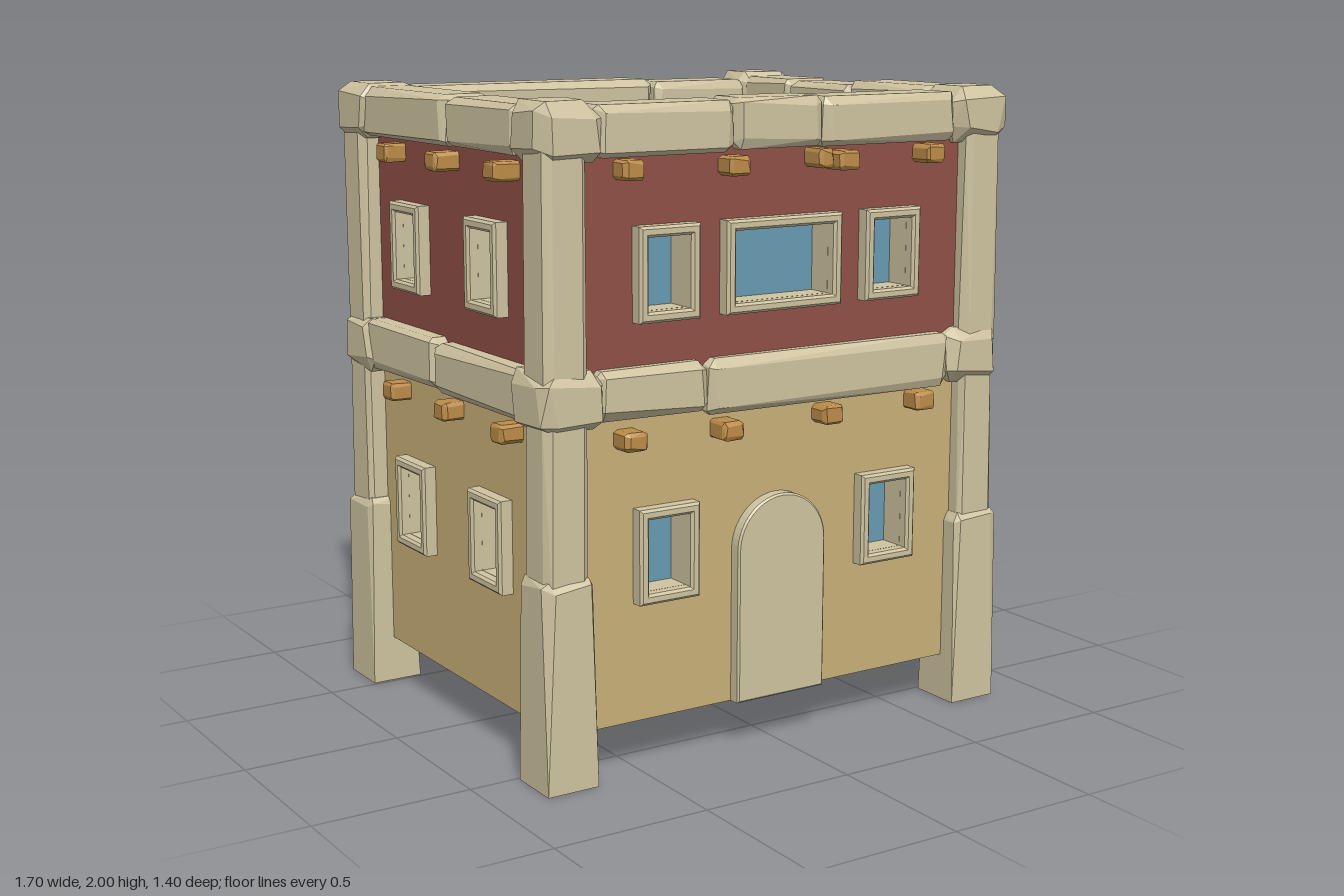
import * as THREE from 'three';
import { ConvexGeometry } from 'three/addons/geometries/ConvexGeometry.js';

const mat = (name, color, side = THREE.FrontSide) => {
  const m = new THREE.MeshStandardMaterial({ color, side });
  m.name = name;
  return m;
};

let seed = 7;
const rand = () => (seed = (seed * 16807) % 2147483647) / 2147483647;

export function createModel() {
  const model = new THREE.Group();
  model.name = 'house';
  const stone = mat('stone', 0xcfc3a0);
  const plaster = mat('sandPlaster', 0xc9b078, THREE.DoubleSide);
  const red = mat('redPlaster', 0x8f5046, THREE.DoubleSide);
  const glass = mat('glass', 0x689cb4, THREE.DoubleSide);
  const doorWood = mat('doorWood', 0xd69862);
  const wood = mat('beamWood', 0xbd8c48);

  const add = (parent, name, geo, material, x = 0, y = 0, z = 0) => {
    const m = new THREE.Mesh(geo, material);
    m.name = name;
    m.position.set(x, y, z);
    parent.add(m);
    return m;
  };

  // Rough hewn block: a box with unevenly cut edges
  const block = (parent, name, material, [x0, x1], [y0, y1], [z0, z1], cut = 0.025, flatBase = false) => {
    const lo = [x0, y0, z0], hi = [x1, y1, z1], pts = [];
    for (let c = 0; c < 8; c++) for (let axis = 0; axis < 3; axis++) {
      const p = [0, 1, 2].map((i) => {
        const top = (c >> i) & 1;
        const inset = i === axis || (flatBase && !(c & 2)) ? 0 : cut * (0.5 + rand());
        return top ? hi[i] - inset : lo[i] + inset;
      });
      pts.push(new THREE.Vector3(...p));
    }
    add(parent, name, new ConvexGeometry(pts), material);
  };

  const rect = (S, w, h, cx = 0, cy = 0) => {
    const s = new S();
    s.moveTo(cx - w / 2, cy - h / 2);
    s.lineTo(cx + w / 2, cy - h / 2);
    s.lineTo(cx + w / 2, cy + h / 2);
    s.lineTo(cx - w / 2, cy + h / 2);
    s.closePath();
    return s;
  };
  // Round-headed outline: half width r, from y0 up to the spring line
  const arch = (S, r, y0, spring = 0.63) => {
    const s = new S();
    s.moveTo(-r, y0);
    s.lineTo(r, y0);
    s.lineTo(r, spring);
    s.absarc(0, spring, r, 0, Math.PI, false);
    s.closePath();
    return s;
  };
  const extrude = (shape, depth, bevel = 0) => new THREE.ExtrudeGeometry(shape, {
    depth: depth - 2 * bevel, bevelEnabled: bevel > 0, bevelSize: bevel, bevelOffset: -bevel,
    bevelThickness: bevel, bevelSegments: 1, curveSegments: 14,
  }).translate(0, 0, bevel);

  // Window: raised frame, deep sleeve and pane, with z = 0 on the wall
  const addWindow = (parent, { u, y, w, h }) => {
    const g = new THREE.Group();
    g.name = 'window';
    g.position.set(u, y, 0);
    parent.add(g);
    const frame = rect(THREE.Shape, w, h);
    frame.holes.push(rect(THREE.Path, w - 0.065, h - 0.065));
    add(g, 'windowFrame', extrude(frame, 0.055, 0.008), stone, 0, 0, -0.01);
    const sleeve = rect(THREE.Shape, w - 0.055, h - 0.055);
    sleeve.holes.push(rect(THREE.Path, w - 0.066, h - 0.066));
    add(g, 'windowReveal', extrude(sleeve, 0.09), stone, 0, 0, -0.08);
    add(g, 'windowPane', new THREE.PlaneGeometry(w - 0.06, h - 0.06), glass, 0, 0, -0.07);
  };

  const addDoor = (parent) => {
    const g = new THREE.Group();
    g.name = 'door';
    parent.add(g);
    const frame = arch(THREE.Shape, 0.162, 0.15);
    frame.holes.push(arch(THREE.Path, 0.135, 0.16));
    add(g, 'doorFrame', extrude(frame, 0.06, 0.006), stone, 0, 0, -0.02);
    add(g, 'doorBacking', extrude(arch(THREE.Shape, 0.15, 0.15), 0.07), stone, 0, 0, -0.12);
    add(g, 'doorstep', new THREE.BoxGeometry(0.3, 0.07, 0.09), stone, 0, 0.185, -0.012);
    add(g, 'doorLeaf', extrude(arch(THREE.Shape, 0.136, 0.2), 0.02), doorWood, 0, 0, -0.055);
    const rim = arch(THREE.Shape, 0.136, 0.22);
    rim.holes.push(arch(THREE.Path, 0.108, 0.25));
    add(g, 'doorRim', extrude(rim, 0.02, 0.004), doorWood, 0, 0, -0.037);
    add(g, 'lowerPanel', extrude(rect(THREE.Shape, 0.19, 0.23, 0, 0.385), 0.012, 0.005), doorWood, 0, 0, -0.036);
    add(g, 'upperPanel', extrude(arch(THREE.Shape, 0.085, 0.55), 0.012, 0.005), doorWood, 0, 0, -0.036);
    add(g, 'doorRail', new THREE.BoxGeometry(0.2, 0.035, 0.025), doorWood, 0, 0.53, -0.028);
  };

  // One facade: two storeys of wall with openings and beam ends
  const addSide = (name, angle, half, dist, lower, upper, ends, door) => {
    const g = new THREE.Group();
    g.name = name;
    g.rotation.y = angle;
    model.add(g);
    const face = new THREE.Group();
    face.name = name + 'Face';
    face.position.z = dist;
    g.add(face);
    const storey = (label, y0, y1, windows, material, hasDoor) => {
      const s = rect(THREE.Shape, half * 2, y1 - y0, 0, (y0 + y1) / 2);
      for (const o of windows) s.holes.push(rect(THREE.Path, o.w - 0.06, o.h - 0.06, o.u, o.y));
      if (hasDoor) s.holes.push(arch(THREE.Path, 0.145, 0.151));
      add(face, label, new THREE.ShapeGeometry(s, 14), material);
      windows.forEach((o) => addWindow(face, o));
    };
    storey('lowerWall', 0.15, 1.15, lower, plaster, door);
    storey('upperWall', 1.15, 1.86, upper, red, false);
    if (door) addDoor(face);
    for (const [u, y, w] of ends) {
      block(face, 'beamEnd', wood, [u - w / 2, u + w / 2], [y - 0.029, y + 0.029], [-0.1, 0.065 + rand() * 0.02], 0.01);
    }
  };

  const win = (u, y, w = 0.21, h = 0.29) => ({ u, y, w, h });
  const lowFront = [win(-0.407, 0.662), win(0.407, 0.662)];
  const topFront = [win(-0.407, 1.497, 0.21, 0.28), win(0, 1.497, 0.42, 0.28), win(0.407, 1.497, 0.21, 0.28)];
  const longEnds = (s) => [
    [-0.54, 1.8, 0.07], [-0.18, 1.795, 0.075], [0.12, 1.805, 0.055], [0.205, 1.795, 0.075], [0.54, 1.8, 0.07],
    [-0.54, 1.02, 0.075], [-0.205, 1.015, 0.075], [0.17, 1.02, 0.075], [0.53, 1.025, 0.075],
  ].map(([u, y, w]) => [u * s, y, w]);
  addSide('front', 0, 0.76, 0.62, lowFront, topFront, longEnds(1), true);
  addSide('back', Math.PI, 0.76, 0.62, lowFront, topFront, longEnds(-1), false);
  for (const s of [1, -1]) {
    const us = [-0.24 * s, 0.27 * s];
    const ends = [-0.385, -0.005, 0.365].flatMap((u) => [[u * s, 1.79, 0.075], [u * s, 1.025, 0.075]]);
    addSide(s > 0 ? 'leftSide' : 'rightSide', s * Math.PI / 2, 0.62, 0.765,
      us.map((u) => win(u, 0.662)), us.map((u) => win(u, 1.497, 0.2, 0.28)), ends, false);
  }

  // Corner pillars with large blocks at each floor
  for (const sx of [1, -1]) for (const sz of [1, -1]) {
    const span = (s, a, b) => (s > 0 ? [a, b] : [-b, -a]);
    const piece = (name, a, b, y, cut, flat) =>
      block(model, name, stone, span(sx, a, b), y, span(sz, a - 0.16, b - 0.157), cut, flat);
    piece('pillarBase', 0.67, 0.84, [0, 0.635], 0.022, true);
    piece('pillarMiddle', 0.688, 0.828, [0.55, 1.12], 0.02);
    piece('pillarTop', 0.688, 0.828, [1.18, 1.88], 0.02);
    piece('floorCornerBlock', 0.632, 0.842, [1.065, 1.24], 0.035);
    piece('roofCornerBlock', 0.632, 0.842, [1.825, 2], 0.035);
  }

  // Stone courses: [start, end, bottom, top] along each side
  const courses = {
    front: [[-0.65, -0.272, 1.08, 1.23], [-0.27, 0.64, 1.06, 1.23],
      [-0.65, -0.185, 1.835, 1.985], [-0.18, 0.128, 1.84, 1.99], [0.135, 0.64, 1.835, 1.985]],
    back: [[-0.65, -0.1, 1.075, 1.23], [-0.11, 0.17, 1.06, 1.245], [0.165, 0.64, 1.075, 1.23],
      [-0.65, 0.265, 1.835, 1.985], [0.275, 0.65, 1.84, 1.975]],
    left: [[-0.52, -0.06, 1.08, 1.23], [-0.055, 0.52, 1.08, 1.245],
      [-0.52, -0.245, 1.84, 1.985], [-0.24, 0.09, 1.84, 1.98], [0.095, 0.5, 1.835, 1.995]],
    right: [[-0.52, -0.05, 1.08, 1.24], [-0.045, 0.52, 1.075, 1.23],
      [-0.52, 0.055, 1.835, 1.99], [0.06, 0.5, 1.84, 1.985]],
  };
  const depth = { front: [0.49, 0.668], back: [-0.675, -0.5], left: [0.648, 0.828], right: [-0.828, -0.648] };
  for (const side in courses) for (const [a, b, y0, y1] of courses[side]) {
    const alongX = side === 'front' || side === 'back';
    block(model, side + 'CourseStone', stone, alongX ? [a, b] : depth[side], [y0, y1],
      alongX ? depth[side] : [a, b], 0.022);
  }

  // Flat roof with low slats and two crossing beams
  add(model, 'roof', new THREE.BoxGeometry(1.44, 0.02, 1.16), plaster, 0, 1.845, 0);
  const beam = (name, x0, z0, x1, z1, w, h) => {
    const dx = x1 - x0, dz = z1 - z0;
    const m = add(model, name, new THREE.BoxGeometry(w, h, Math.hypot(dx, dz)), wood,
      (x0 + x1) / 2, 1.85 + h / 2, (z0 + z1) / 2);
    m.rotation.y = Math.atan2(dx, dz);
  };
  const slats = [[-0.565, -0.51, -0.54, 0.5, 0.065], [-0.285, -0.51, -0.27, 0.5, 0.05], [-0.16, -0.51, -0.195, -0.2, 0.055],
    [-0.185, 0.22, -0.2, 0.5, 0.055], [-0.01, -0.51, -0.01, 0.5, 0.045], [0.13, -0.51, 0.155, 0.5, 0.06],
    [0.42, -0.51, 0.43, -0.37, 0.045], [0.46, -0.045, 0.505, 0.5, 0.045], [0.545, -0.51, 0.57, 0.5, 0.05]];
  for (const [x0, z0, x1, z1, w] of slats) beam('roofSlat', x0, z0, x1, z1, w, 0.012);
  beam('roofCrossBeam', -0.67, -0.193, 0.67, -0.307, 0.06, 0.035);
  beam('roofCrossBeam', -0.67, 0.086, 0.67, 0.066, 0.047, 0.035);

  return model;
}
